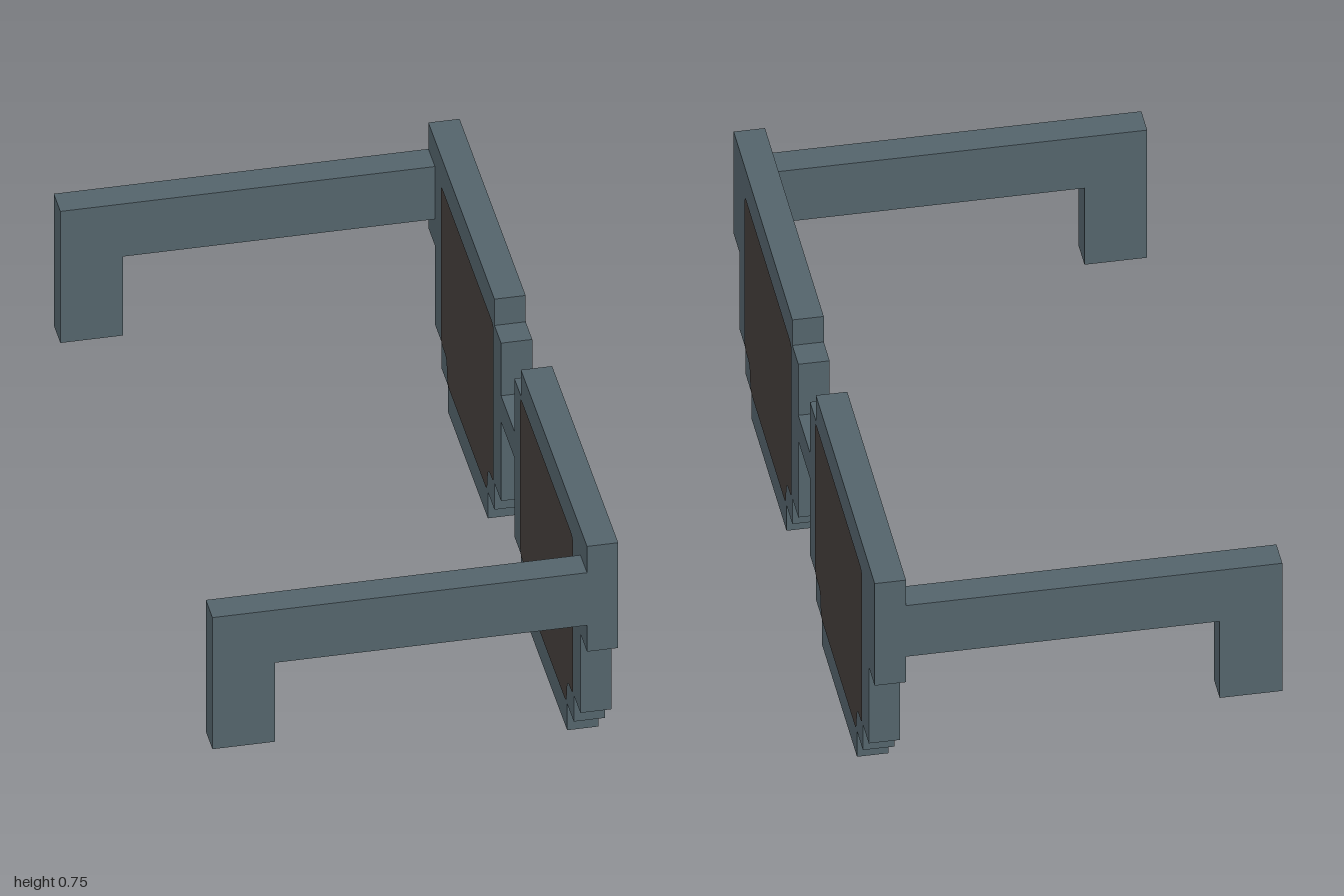
import * as THREE from 'three';

const U = 1 / 12; // one block of the stepped design
const FRONT = 6.5 * U; // outer face of the rims

const frameMat = new THREE.MeshStandardMaterial({ color: 0x53636b });
frameMat.name = 'slate frame';
const lensMat = new THREE.MeshStandardMaterial({ color: 0x443e3b, side: THREE.DoubleSide });
lensMat.name = 'dark brown lens';

// Outlines in blocks: sideways (z), up (y)
const RIM = [[3, 0], [9, 0], [9, 1], [10, 1], [10, 2], [11, 2], [11, 5], [12, 5], [12, 9],
  [2, 9], [2, 8], [1, 8], [1, 2], [2, 2], [2, 1], [3, 1]];
const LENS = [[3, 1.05], [9, 1.05], [9.15, 2], [10, 2], [10, 8], [2, 8], [2, 2], [2.85, 2]];
const TEMPLE = [[-6.5, 3], [-4.5, 3], [-4.5, 6], [5.5, 6], [5.5, 8], [-6.5, 8]];

function outline(points, side = 1) {
  return new THREE.Shape(points.map(([a, b]) => new THREE.Vector2(a * U * side, b * U)));
}

// Same outline with softened corners
function softOutline(points, side, radius) {
  const p = points.map(([a, b]) => new THREE.Vector2(a * U * side, b * U));
  const shape = new THREE.Shape();
  p.forEach((c, i) => {
    const before = p[(i + p.length - 1) % p.length];
    const after = p[(i + 1) % p.length];
    const start = before.clone().sub(c).setLength(radius).add(c);
    const end = after.clone().sub(c).setLength(radius).add(c);
    if (i === 0) shape.moveTo(start.x, start.y);
    else shape.lineTo(start.x, start.y);
    shape.quadraticCurveTo(c.x, c.y, end.x, end.y);
  });
  shape.closePath();
  return shape;
}

export function createModel() {
  const model = new THREE.Group();
  model.name = 'glasses';
  const add = (name, geometry, material) => {
    const mesh = new THREE.Mesh(geometry, material);
    mesh.name = name;
    model.add(mesh);
    return mesh;
  };
  const slab = { depth: U, bevelEnabled: false };

  for (const side of [1, -1]) {
    const label = side > 0 ? 'left' : 'right';

    // Stepped rim, turned to face +x
    const rim = new THREE.ExtrudeGeometry(outline(RIM, side), slab);
    rim.rotateY(-Math.PI / 2).translate(FRONT, 0, 0);
    add(label + 'Rim', rim, frameMat);

    // Lens faces on both sides of the rim
    for (const [face, x] of [['Outer', FRONT + 0.002], ['Inner', FRONT - U - 0.002]]) {
      const lens = new THREE.ShapeGeometry(softOutline(LENS, side, 0.025), 5);
      lens.rotateY(face === 'Outer' ? -Math.PI / 2 : -Math.PI / 2).translate(x, 0, 0);
      // ShapeGeometry faces -x after the turn, so flip the outer one
      if (face === 'Outer') {
        lens.index.array.reverse();
        lens.attributes.normal.array.forEach((n, i, a) => { a[i] = -n; });
      }
      add(label + 'Lens' + face, lens, lensMat);
    }

    // Temple arm with its ear hook
    const temple = new THREE.ExtrudeGeometry(outline(TEMPLE), slab);
    temple.translate(0, 0, side > 0 ? 11 * U : -12 * U);
    add(label + 'Temple', temple, frameMat);
  }

  // Nose bridge
  add('bridge', new THREE.BoxGeometry(U, U, 2 * U), frameMat)
    .position.set(FRONT - U / 2, 5.5 * U, 0);

  return model;
}
